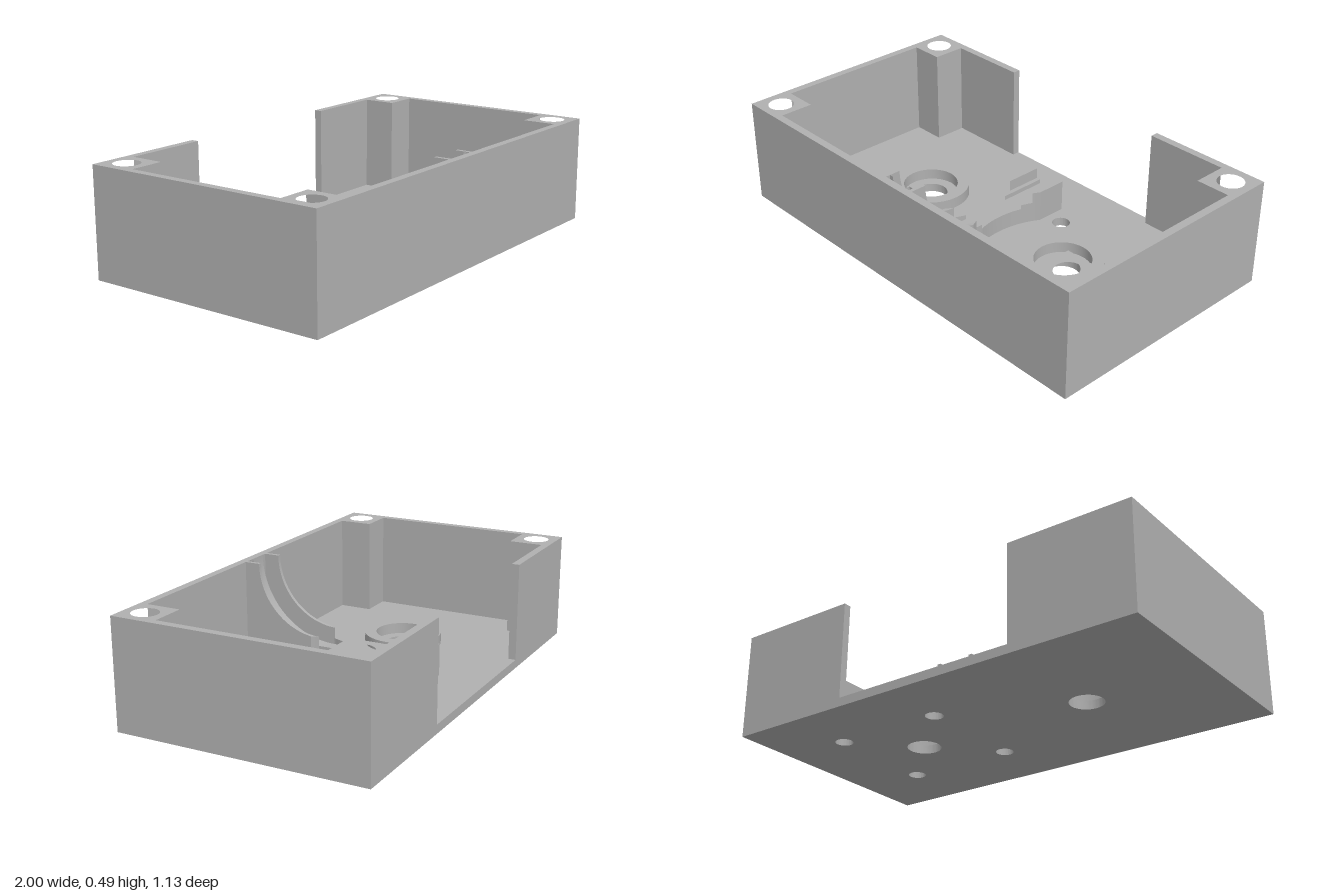
import * as THREE from 'three';
import { toCreasedNormals } from 'three/addons/utils/BufferGeometryUtils.js';

const FLOOR = 0.04, RIM = 0.485, HALF_Z = 0.565, WALL_Z = 0.53;
const ROLLER_X = 0.43, ROLLER_CLEARANCE = 0.395;
const ARC_Z = 0.16, BACK_Z = -0.34;

export function createModel() {
  const group = new THREE.Group();
  const gray = new THREE.MeshStandardMaterial({ color: 0xb0b0b0 });
  gray.name = 'plain gray';

  const add = (name, geometry) => {
    const mesh = new THREE.Mesh(toCreasedNormals(geometry, 0.5), gray);
    mesh.name = name;
    group.add(mesh);
    return mesh;
  };

  // Plan shapes use (x, -z) and are extruded upwards
  const plan = (points) => new THREE.Shape(points.map(([x, y]) => new THREE.Vector2(x, y)));
  const hole = (shape, x, y, r) => {
    const path = new THREE.Path();
    path.absarc(x, y, r, 0, Math.PI * 2, true);
    shape.holes.push(path);
  };
  const extrude = (shape, y0, y1) => {
    const g = new THREE.ExtrudeGeometry(shape, { depth: y1 - y0, bevelEnabled: false, curveSegments: 32 });
    g.rotateX(-Math.PI / 2);
    g.translate(0, y0, 0);
    return g;
  };

  // Floor with two shaft holes and four screw holes
  const floor = plan([[-1, -HALF_Z], [1, -HALF_Z], [1, HALF_Z], [-1, HALF_Z]]);
  for (const s of [-1, 1]) {
    hole(floor, s * ROLLER_X, 0, 0.076);
    hole(floor, 0.17, s * 0.255, 0.04);
    hole(floor, 0.68, s * 0.255, 0.04);
  }
  add('floor', extrude(floor, 0, FLOOR));

  // Walls and corner posts, open in the middle of the back
  const half = [
    [0.81, -WALL_Z], [0.81, -0.375], [0.965, -0.375], [0.965, 0.375], [0.81, 0.375],
    [0.81, WALL_Z], [0.43, WALL_Z], [0.43, HALF_Z], [1, HALF_Z], [1, -HALF_Z],
  ];
  const walls = plan([...half, ...half.map(([x, y]) => [-x, y]).reverse()]);
  for (const sx of [-1, 1]) for (const sy of [-1, 1]) hole(walls, sx * 0.905, sy * 0.47, 0.058);
  add('wallsAndCornerPosts', extrude(walls, FLOOR, RIM));

  // Bearing rings around the shaft holes
  for (const s of [-1, 1]) {
    const ring = new THREE.Shape().absarc(s * ROLLER_X, 0, 0.178, 0, Math.PI * 2, false);
    hole(ring, s * ROLLER_X, 0, 0.125);
    add(s > 0 ? 'leftBearingRing' : 'rightBearingRing', extrude(ring, FLOOR, 0.09));
  }

  // Half width of the guide, trimmed by the round clearance of the rollers
  const halfWidth = (z) => Math.abs(z) >= ROLLER_CLEARANCE ? 1
    : ROLLER_X - Math.sqrt(ROLLER_CLEARANCE ** 2 - z * z);

  // Loft one strip of the guide: flat at the back, sweeping up to the rim at the front
  const strip = (inner, outer, radius, start, end) => {
    const zs = [start, end];
    for (let i = 0; i <= 60; i++) zs.push(BACK_Z + (ARC_Z - BACK_Z) * i / 60);
    for (let i = 1; i <= 32; i++) zs.push(ARC_Z + radius * Math.sin(Math.PI / 2 * i / 32));
    for (const x of [inner, outer]) {
      const z = Math.sqrt(Math.max(0, ROLLER_CLEARANCE ** 2 - (ROLLER_X - x) ** 2));
      zs.push(-z, z);
    }
    const rows = [...new Set(zs)].filter((z) => z >= start && z <= end).sort((a, b) => a - b).map((z) => {
      const x1 = Math.max(inner, Math.min(outer, halfWidth(z)));
      const x0 = inner === 0 ? -x1 : inner;
      const d = Math.max(0, z - ARC_Z);
      const y = RIM - Math.sqrt(Math.max(0, radius * radius - d * d));
      return [[x0, FLOOR, z], [x1, FLOOR, z], [x1, y, z], [x0, y, z]];
    });
    const pos = [];
    const quad = (a, b, c, d) => pos.push(...a, ...b, ...c, ...a, ...c, ...d);
    for (let i = 0; i + 1 < rows.length; i++) {
      for (let k = 0; k < 4; k++) {
        const n = (k + 1) % 4;
        quad(rows[i][k], rows[i][n], rows[i + 1][n], rows[i + 1][k]);
      }
    }
    const [a, b, c, d] = rows[0];
    quad(a, d, c, b);
    quad(...rows[rows.length - 1]);
    // Strips are wound inwards along z, so swap to face outwards
    const sideCount = (rows.length - 1) * 8;
    for (let t = 0; t < sideCount; t++) {
      for (let k = 0; k < 3; k++) {
        const p = t * 9 + 3 + k;
        [pos[p], pos[p + 3]] = [pos[p + 3], pos[p]];
      }
    }
    const g = new THREE.BufferGeometry();
    g.setAttribute('position', new THREE.Float32BufferAttribute(orient(pos, rows), 3));
    g.computeVertexNormals();
    return g;
  };

  // Flip the side faces if the top of the strip would face down
  const orient = (pos, rows) => {
    const t = 4 * 9; // first triangle of the first top face
    const v = (i) => new THREE.Vector3(pos[t + i * 3], pos[t + i * 3 + 1], pos[t + i * 3 + 2]);
    const up = v(1).sub(v(0)).cross(v(2).sub(v(0))).y;
    if (up >= 0) return pos;
    const out = pos.slice();
    for (let i = 0; i < (rows.length - 1) * 8; i++) {
      for (let k = 0; k < 3; k++) {
        out[i * 9 + 3 + k] = pos[i * 9 + 6 + k];
        out[i * 9 + 6 + k] = pos[i * 9 + 3 + k];
      }
    }
    return out;
  };

  // Groove in the middle, then a step and a fin on each side, at the back and the front
  add('guideGroove', strip(0, 0.053, 0.37, BACK_Z, WALL_Z));
  for (const [name, inner, outer, radius] of [['guideStep', 0.053, 0.073, 0.35], ['guideFin', 0.073, 0.09, 0.3]]) {
    const near = Math.sqrt(ROLLER_CLEARANCE ** 2 - (ROLLER_X - inner) ** 2);
    for (const [start, end] of [[BACK_Z, -near], [near, WALL_Z]]) {
      const g = strip(inner, outer, radius, start, end);
      add(name + 'Left', g);
      // Mirror in x and reverse the corner order
      const m = g.clone().scale(-1, 1, 1);
      const p = m.attributes.position;
      for (let i = 0; i < p.count; i += 3) {
        const b = [p.getX(i + 1), p.getY(i + 1), p.getZ(i + 1)];
        p.setXYZ(i + 1, p.getX(i + 2), p.getY(i + 2), p.getZ(i + 2));
        p.setXYZ(i + 2, ...b);
      }
      m.computeVertexNormals();
      add(name + 'Right', m);
    }
  }
  return group;
}
